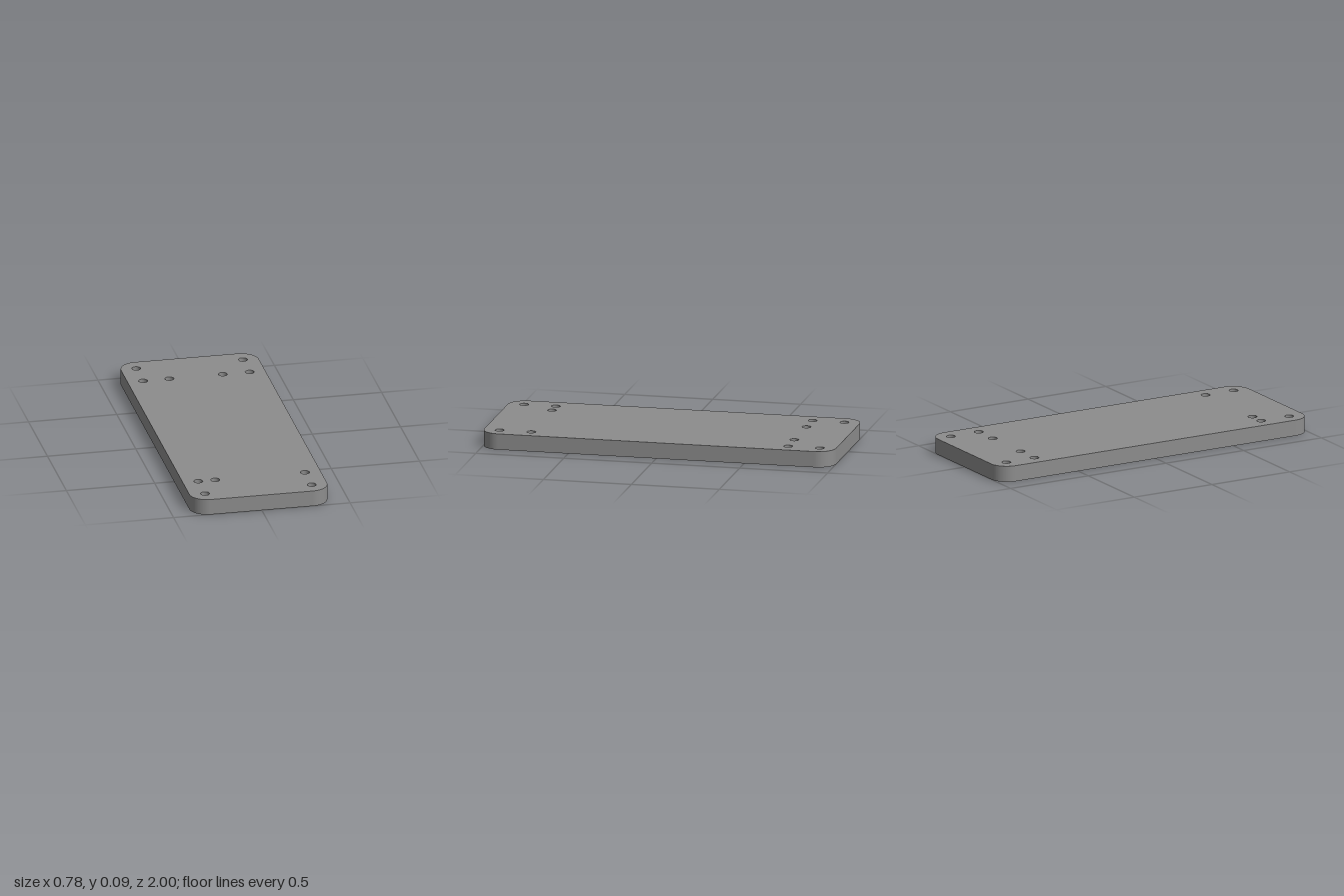
import * as THREE from 'three';

const HALF_W = 0.39, HALF_L = 1, THICKNESS = 0.09, CORNER = 0.1, HOLE_R = 0.025;

// Rounded rectangle outline, counter-clockwise
function roundedRect(w, l, r) {
  const shape = new THREE.Shape();
  const corners = [[1, -1], [1, 1], [-1, 1], [-1, -1]];
  corners.forEach(([sx, sy], i) => {
    const start = (i - 1) * Math.PI / 2;
    shape.absarc(sx * (w - r), sy * (l - r), r, start, start + Math.PI / 2, false);
  });
  shape.closePath();
  return shape;
}

export function createModel() {
  const group = new THREE.Group();
  group.name = 'mountingPlate';

  const outline = roundedRect(HALF_W, HALF_L, CORNER);

  // Hole centres as [x, z]: two inner back holes, one inner front hole, four corner pairs
  const holes = [[-0.153, -0.73], [0.15, -0.73], [-0.207, 0.73]];
  for (const x of [-0.302, 0.302]) {
    for (const z of [-0.91, -0.73, 0.73, 0.91]) holes.push([x, z]);
  }
  for (const [x, z] of holes) {
    const hole = new THREE.Path();
    hole.absarc(x, -z, HOLE_R, 0, Math.PI * 2, true);
    outline.holes.push(hole);
  }

  // Drilled plate, laid flat with its underside on y = 0
  const geometry = new THREE.ExtrudeGeometry(outline, {
    depth: THICKNESS, bevelEnabled: false, curveSegments: 16,
  });
  geometry.rotateX(-Math.PI / 2);

  const plate = new THREE.Mesh(
    geometry,
    new THREE.MeshStandardMaterial({ color: 0x8d8d8d, flatShading: true }),
  );
  plate.name = 'plate';
  group.add(plate);
  return group;
}
